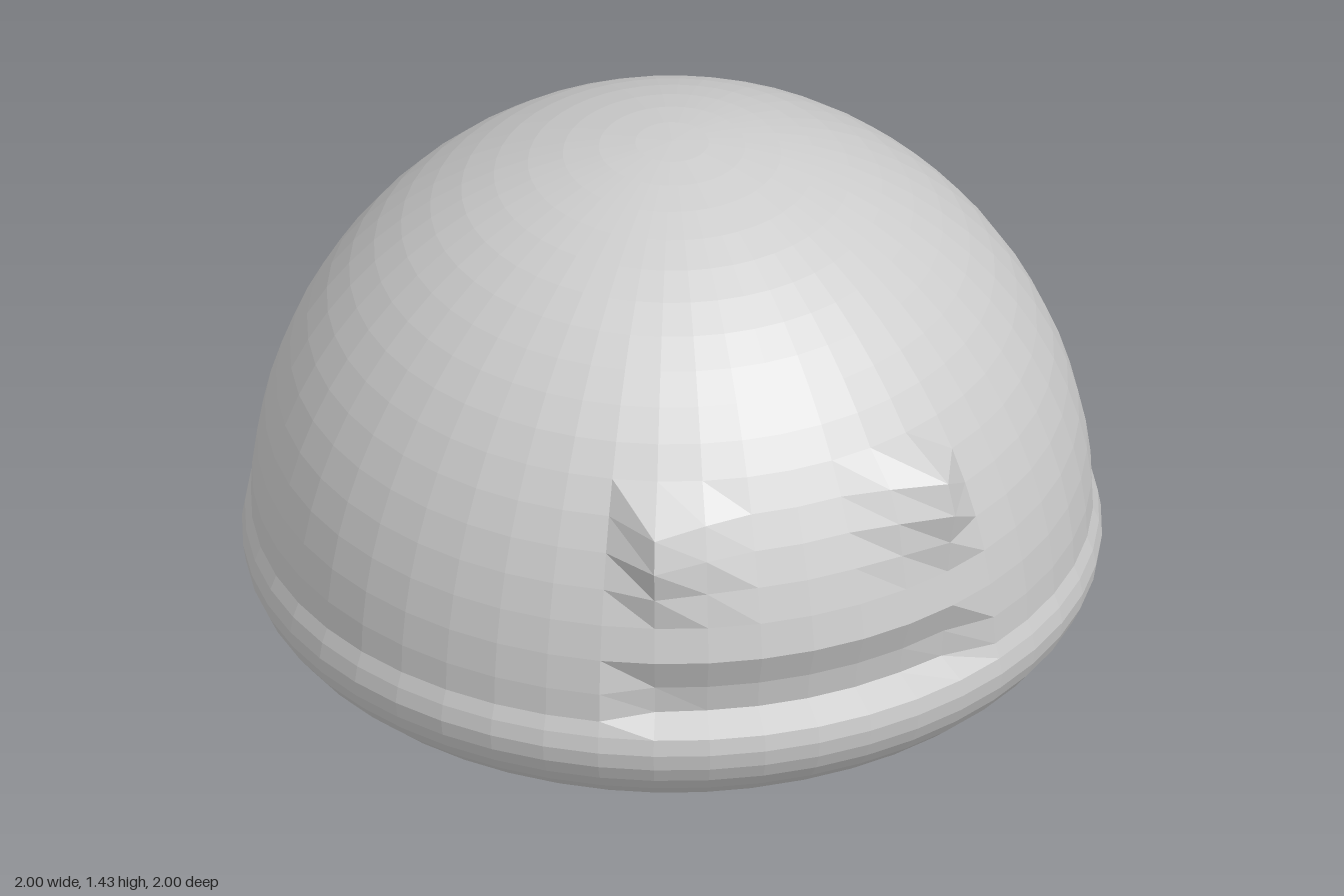
import * as THREE from 'three';

const SEGMENTS = 48; // facets around the body, column 0 faces the front
const RIM_Y = 0.37;

export function createModel() {
  const group = new THREE.Group();
  group.name = 'slimeBlob';
  const grey = new THREE.MeshStandardMaterial({ color: 0xcccccc, flatShading: true });
  grey.name = 'grey';

  // Profile from the underside pole, around the rim, to the top of the dome
  const profile = [];
  for (let i = 0; i <= 14; i++) {
    const a = (i / 14) * Math.PI / 2;
    profile.push(new THREE.Vector2(Math.sin(a), RIM_Y * (1 - Math.cos(a))));
  }
  profile.push(new THREE.Vector2(0.993, 0.41));
  const domeStart = profile.length;
  profile.push(new THREE.Vector2(0.979, 0.445));
  for (let i = 1; i <= 18; i++) {
    const a = (i / 18) * Math.PI / 2;
    profile.push(new THREE.Vector2(Math.max(0, 0.98 * Math.cos(a)), 0.43 + Math.sin(a)));
  }

  // Radial push for the face, by dome row and by column from the front centre
  const push = {
    0: [-0.06, -0.06, -0.06, -0.055, 0],  // mouth floor
    1: [-0.045, -0.045, -0.045, -0.045, 0], // mouth roof
    4: [0, 0, 0.01, 0.035, 0],            // lower eye
    5: [0, 0, 0.03, 0.085, 0],
    6: [0, 0, 0.035, 0.1, 0],             // brow ridge
  };

  const geometry = new THREE.LatheGeometry(profile, SEGMENTS);
  const pos = geometry.attributes.position;
  for (let col = 0; col <= SEGMENTS; col++) {
    const side = Math.min(col, SEGMENTS - col);
    for (const row in push) {
      const amount = push[row][side] || 0;
      const j = domeStart + Number(row);
      const k = col * profile.length + j;
      const scale = 1 + amount / profile[j].x;
      pos.setX(k, pos.getX(k) * scale);
      pos.setZ(k, pos.getZ(k) * scale);
    }
  }
  geometry.computeVertexNormals();

  const body = new THREE.Mesh(geometry, grey);
  body.name = 'bodyWithFace';
  group.add(body);
  return group;
}
